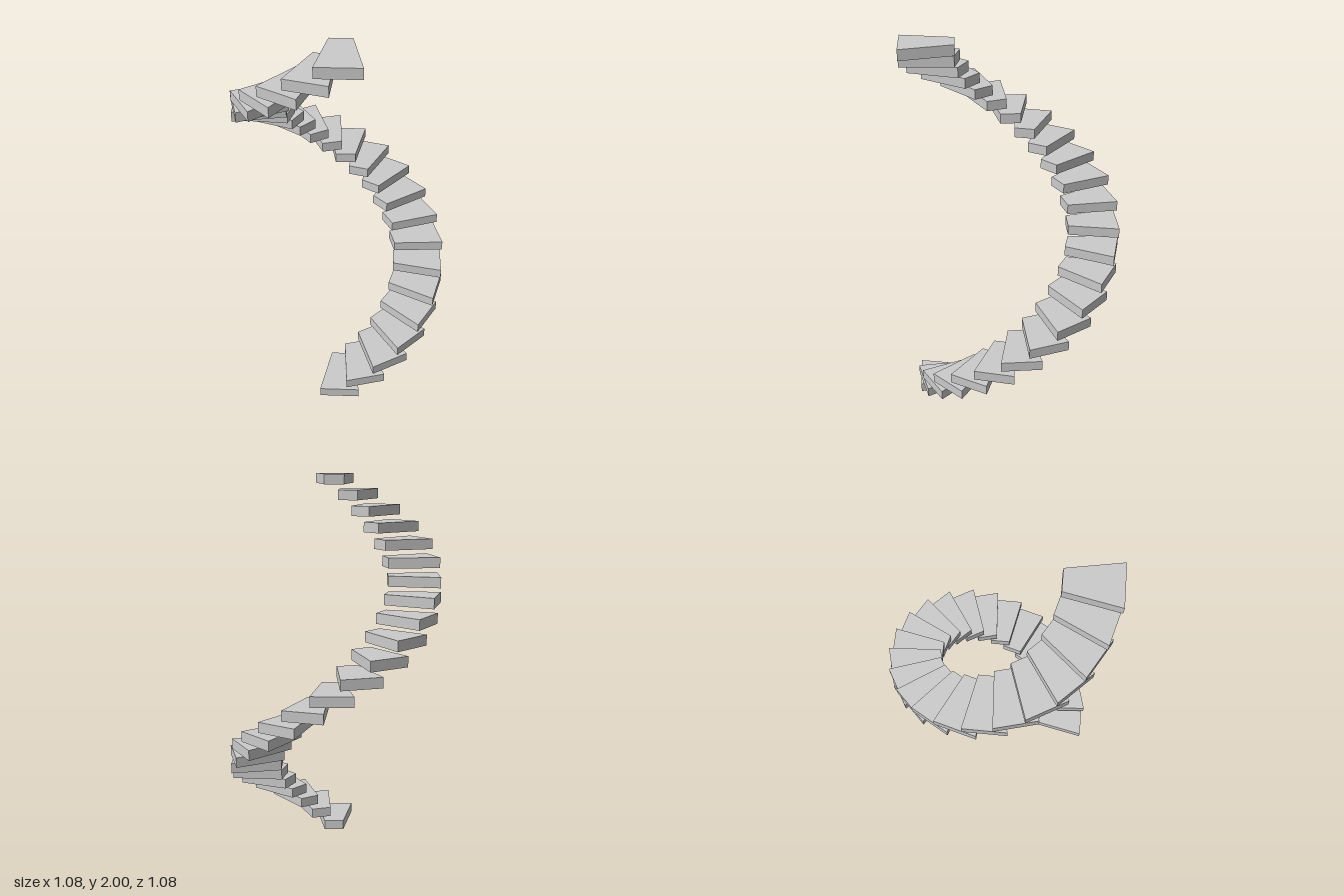
import * as THREE from 'three';

// Spiral staircase: wedge-shaped treads making one full turn
export function createModel() {
  const group = new THREE.Group();
  group.name = 'spiralStaircase';

  const steps = 24;
  const thickness = 0.053;
  const rise = (2 - thickness) / steps;
  const inner = { r: 0.273, half: 0.053 };
  const outer = { r: 0.53, half: 0.103 };
  const material = new THREE.MeshStandardMaterial({ color: 0xcccccc, flatShading: true });

  // Tread outline, narrow end towards the axis
  const outline = new THREE.Shape([
    new THREE.Vector2(-inner.half, -inner.r),
    new THREE.Vector2(-outer.half, -outer.r),
    new THREE.Vector2(outer.half, -outer.r),
    new THREE.Vector2(inner.half, -inner.r),
  ]);
  const geometry = new THREE.ExtrudeGeometry(outline, { depth: thickness, bevelEnabled: false });
  geometry.rotateX(-Math.PI / 2); // lay flat, pointing to +z

  // Treads climb from the front round by the left side
  for (let i = 0; i <= steps; i++) {
    const tread = new THREE.Mesh(geometry, material);
    tread.name = `tread${i + 1}`;
    tread.position.y = i * rise;
    tread.rotation.y = (i / steps) * Math.PI * 2;
    group.add(tread);
  }
  return group;
}
